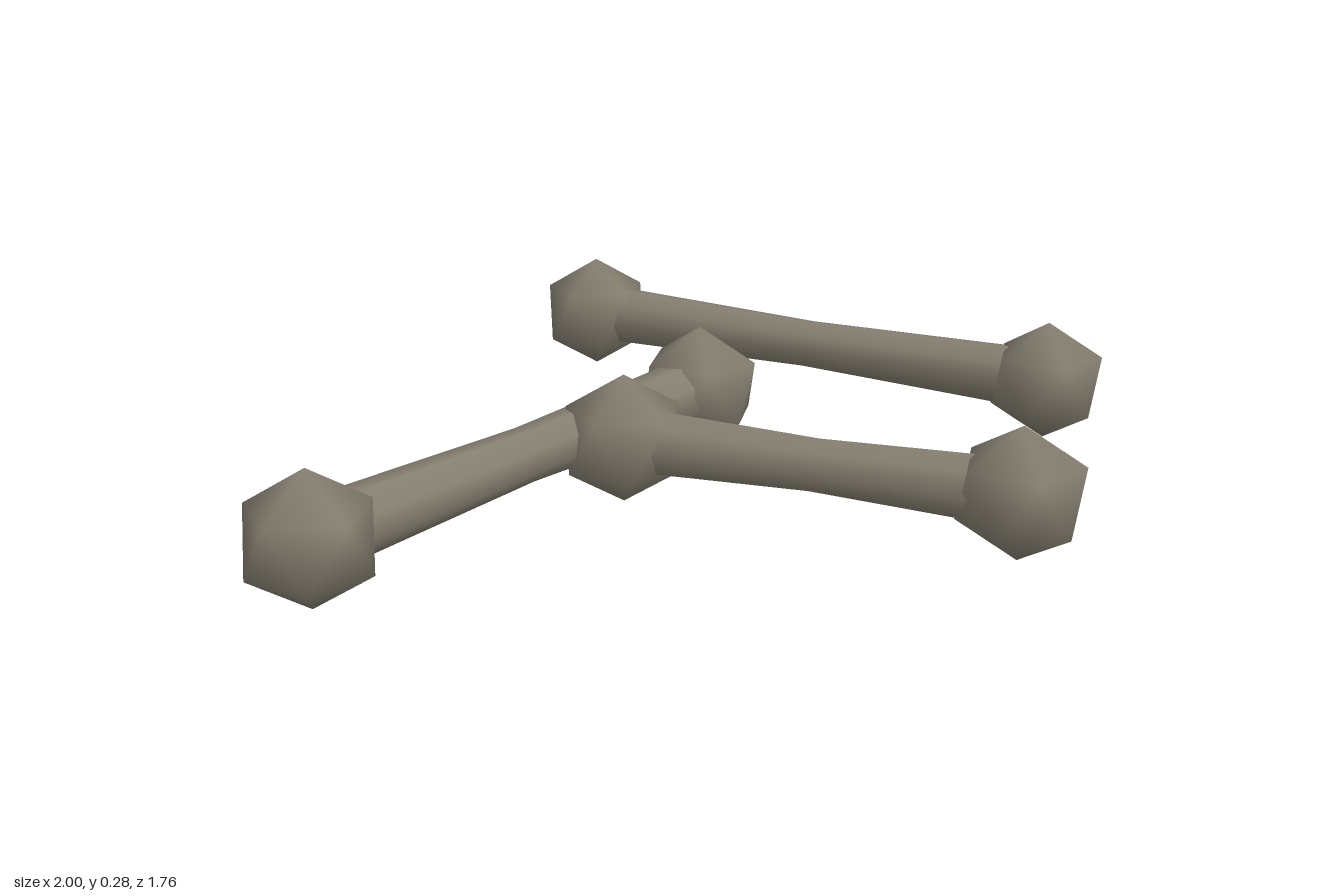
import * as THREE from 'three';
import { mergeVertices } from 'three/addons/utils/BufferGeometryUtils.js';

// Low-poly knob: icosahedron standing on a vertex, with smooth normals
function knobGeometry(radius) {
  let g = new THREE.IcosahedronGeometry(radius, 0);
  g.rotateZ(Math.atan2(1, (1 + Math.sqrt(5)) / 2));
  g.deleteAttribute('uv');
  g.deleteAttribute('normal');
  g = mergeVertices(g, 1e-4);
  g.computeVertexNormals();
  return g;
}

// Shaft that narrows towards the middle, running along y
function shaftGeometry(length) {
  const profile = [[0.072, -0.5], [0.057, 0], [0.072, 0.5]]
    .map(([r, t]) => new THREE.Vector2(r, t * length));
  return new THREE.LatheGeometry(profile, 8);
}

// One bone lying between two points, with a knob at each end
function makeBone(name, a, b, radius, material) {
  const bone = new THREE.Group();
  bone.name = name;

  const dir = b.clone().sub(a);
  const shaft = new THREE.Mesh(shaftGeometry(dir.length()), material);
  shaft.name = 'shaft';
  shaft.position.copy(a).add(b).multiplyScalar(0.5);
  shaft.quaternion.setFromUnitVectors(new THREE.Vector3(0, 1, 0), dir.normalize());
  bone.add(shaft);

  [a, b].forEach((p, i) => {
    const knob = new THREE.Mesh(knobGeometry(radius), material);
    knob.name = i ? 'rightwardKnob' : 'leftwardKnob';
    knob.position.copy(p);
    knob.rotation.y = i ? 0 : Math.PI;
    bone.add(knob);
  });
  return bone;
}

export function createModel() {
  const model = new THREE.Group();
  model.name = 'scatteredBones';
  const boneMaterial = new THREE.MeshStandardMaterial({ color: 0x857f70 });
  boneMaterial.name = 'weatheredBone';

  // name, first end x z, second end x z, height of axis, knob radius
  const bones = [
    ['longBone', -0.88, 0.415, 0.145, -0.085, 0.147, 0.137],
    ['shortBone', -0.145, 0.155, 0.412, 0.76, 0.146, 0.137],
    ['sideBone', 0.19, -0.765, 0.88, 0.18, 0.139, 0.134],
  ];
  for (const [name, ax, az, bx, bz, y, r] of bones) {
    model.add(makeBone(name, new THREE.Vector3(ax, y, az), new THREE.Vector3(bx, y, bz), r, boneMaterial));
  }
  return model;
}
